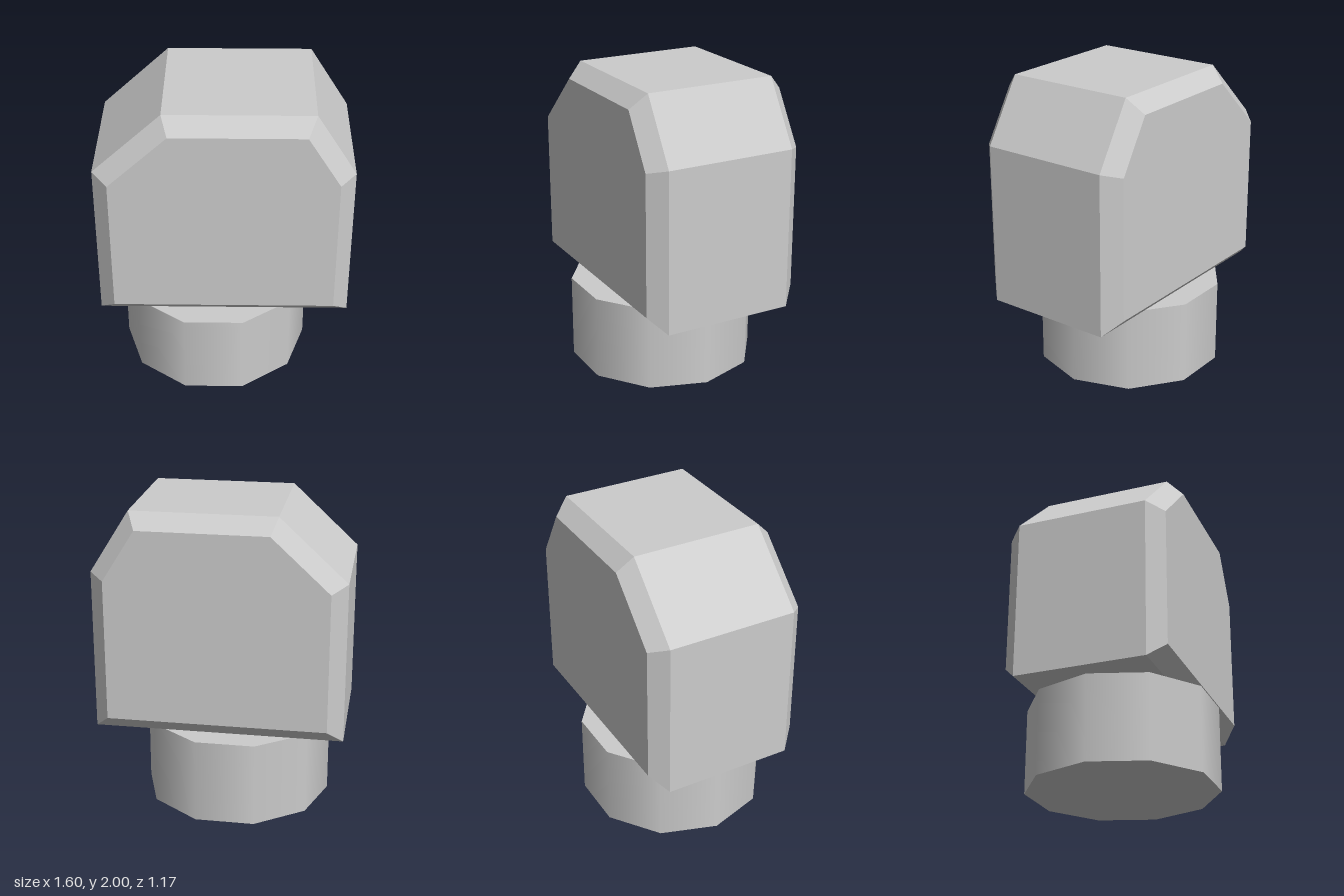
import * as THREE from 'three';

export function createModel() {
  const model = new THREE.Group();
  const grey = new THREE.MeshStandardMaterial({ name: 'light grey', color: 0xcccccc });

  // Head: slab with two unequal cut corners and chamfered front and back rims
  const outline = new THREE.Shape([
    [-0.8, 0.555], [0.8, 0.555], [0.8, 1.6], [0.55, 2], [-0.37, 2], [-0.8, 1.6],
  ].map(([x, y]) => new THREE.Vector2(x, y)));
  const chamfer = 0.098;
  const headGeometry = new THREE.ExtrudeGeometry(outline, {
    depth: 0.85,
    bevelEnabled: true,
    bevelSegments: 1,
    bevelSize: chamfer,
    bevelOffset: -chamfer,
    bevelThickness: 0.1,
  });
  headGeometry.translate(0, 0, -0.425);
  const head = new THREE.Mesh(headGeometry, grey);
  head.name = 'head';
  model.add(head);

  // Neck: ten-sided smooth stem, slightly off centre, corners pointing along x
  const neckHeight = 0.555;
  const neck = new THREE.Mesh(
    new THREE.CylinderGeometry(0.615, 0.615, neckHeight, 10, 1, false, Math.PI / 2), grey);
  neck.name = 'neck';
  neck.position.set(-0.065, neckHeight / 2, 0);
  model.add(neck);

  return model;
}
